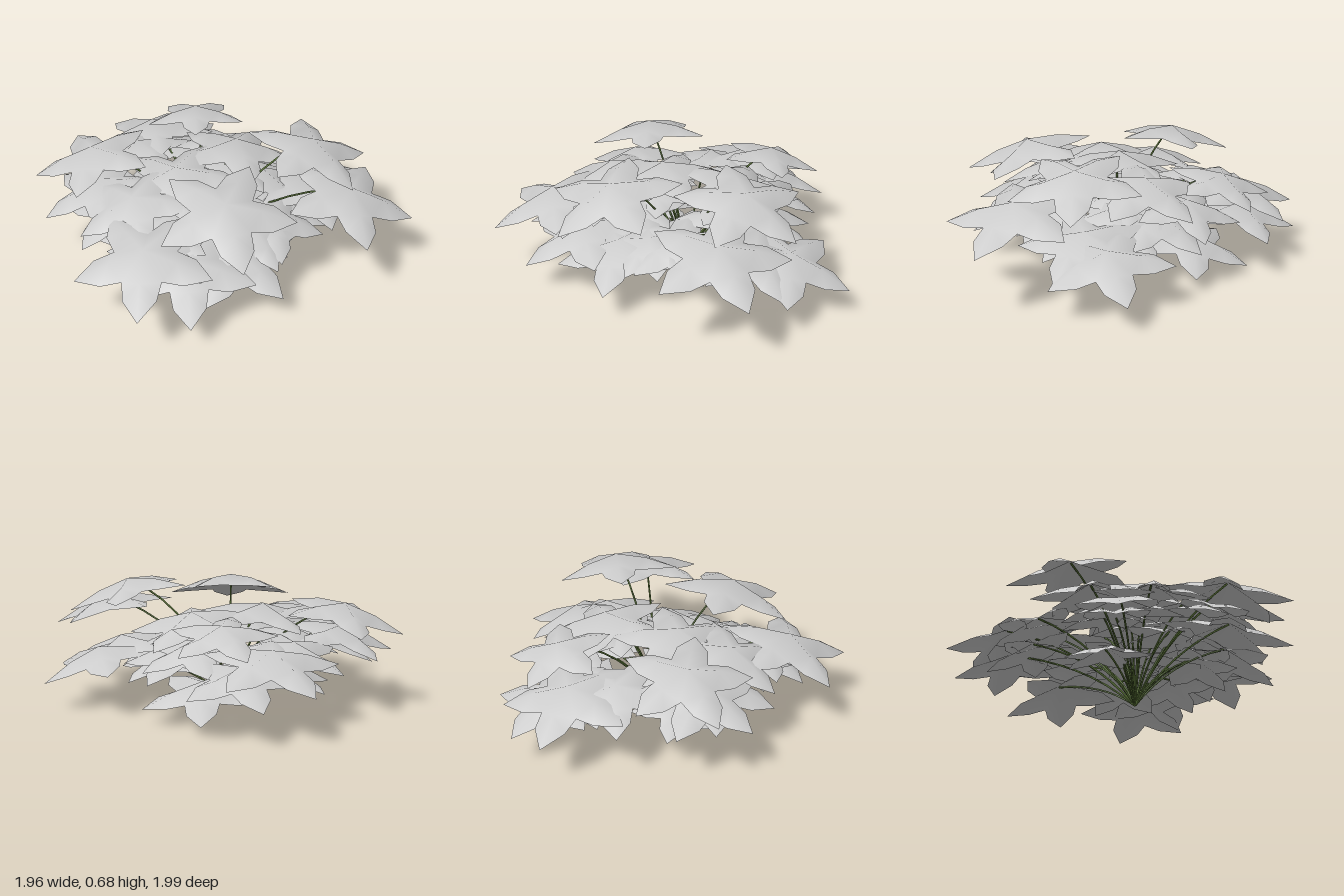
import * as THREE from 'three';

const LOBES = 5, STEP = 360 / LOBES, POINTS = 5;

// One palmate leaf: five pointed lobes drooping from a raised centre
function leafGeometry() {
  const pos = [0, 0, 0], index = [];
  const add = (r, deg, y) => {
    const a = THREE.MathUtils.degToRad(deg);
    pos.push(r * Math.cos(a), y, r * Math.sin(a));
  };
  for (let k = 0; k < LOBES; k++) {
    const d = k * STEP;
    add(0.18, d, -0.032);              // midrib
    add(0.365, d, -0.1);               // tip
    add(0.26, d - 19, -0.086);         // shoulders
    add(0.26, d + 19, -0.086);
    add(0.17, d + STEP / 2, -0.08);    // notch before the next lobe
  }
  for (let k = 0; k < LOBES; k++) {
    const b = 1 + k * POINTS, prev = 1 + ((k + LOBES - 1) % LOBES) * POINTS + 4;
    const [mid, tip, s0, s1, notch] = [b, b + 1, b + 2, b + 3, b + 4];
    index.push(0, mid, prev, prev, mid, s0, s0, mid, tip);
    index.push(0, notch, mid, notch, s1, mid, s1, tip, mid);
  }
  const g = new THREE.BufferGeometry();
  g.setAttribute('position', new THREE.Float32BufferAttribute(pos, 3));
  g.setIndex(index);
  g.computeVertexNormals();
  return g;
}

// Each leaf: x, y, z of its centre, turn in degrees, scale
const TOP_LEAVES = [
  [0.42, 0.67, 0.40, 27, 0.97],
  [0.36, 0.53, 0.71, 53, 1.02],
  [-0.30, 0.63, 0.40, 51, 1.03],
  [-0.70, 0.46, 0.20, 70, 1.02],
  [0.24, 0.42, -0.67, 56, 1],
  [-0.36, 0.58, -0.54, 6, 0.95],
  [0.40, 0.53, -0.46, 65, 0.8],
  [-0.15, 0.54, -0.10, 57, 1],
  [0.30, 0.53, -0.05, 52, 1],
  [0.66, 0.32, 0.33, 7, 0.95],
  [0.08, 0.37, 0.40, 53, 0.85],
];
const LOWER_LEAVES = [
  [0.02, 0.42, -0.57, 32, 0.85],
  [-0.46, 0.50, -0.12, 57, 0.9],
  [-0.50, 0.34, 0.32, 63, 1],
  [-0.25, 0.32, 0.43, 18, 0.95],
  [0.38, 0.34, -0.60, 0, 0.9],
  [0.40, 0.37, -0.08, 50, 0.9],
  [0.48, 0.36, 0.38, 49, 0.95],
  [0.40, 0.21, -0.29, 20, 0.9],
  [-0.22, 0.20, -0.28, 45, 0.7],
  [-0.42, 0.40, -0.28, 30, 0.95],
  [-0.42, 0.44, -0.45, 56, 0.92],
  [0.32, 0.40, 0.13, 20, 0.85],
  [-0.24, 0.37, 0.10, 40, 0.8],
  [-0.47, 0.42, 0.06, 10, 0.85],
  [-0.08, 0.31, 0.34, 0, 0.75],
  [0.26, 0.32, 0.35, 60, 0.75],
  [0.42, 0.42, -0.24, 5, 0.85],
  [-0.24, 0.42, -0.24, 20, 0.8],
  [0.38, 0.31, 0.10, 62, 0.8],
  [-0.14, 0.43, -0.03, 10, 0.75],
  [0.24, 0.44, 0.00, 30, 0.75],
  [-0.08, 0.35, 0.42, 35, 0.7],
  [-0.56, 0.40, 0.18, 20, 0.8],
  [0.22, 0.36, -0.52, 20, 0.8],
];

export function createModel() {
  const leafMat = new THREE.MeshStandardMaterial({ color: 0xcccccc, side: THREE.DoubleSide });
  leafMat.name = 'pale grey leaf';
  const stemMat = new THREE.MeshStandardMaterial({ color: 0x566e34 });
  stemMat.name = 'green stem';

  const model = new THREE.Group();
  model.name = 'plant';
  const leafGeo = leafGeometry();
  const up = new THREE.Vector3(0, 1, 0);
  const root = new THREE.Vector3(0.015, 0.003, 0.01);

  for (const [x, y, z, turn, scale] of [...TOP_LEAVES, ...LOWER_LEAVES]) {
    const top = new THREE.Vector3(x, y, z);

    // Leaf leans away from the middle of the plant
    const out = new THREE.Vector3(x, 0, z).normalize();
    const lean = 0.24 * Math.min(1, Math.hypot(x, z) / 0.4);
    const normal = out.multiplyScalar(lean).add(up).normalize();
    const leaf = new THREE.Mesh(leafGeo, leafMat);
    leaf.name = 'leaf';
    leaf.position.copy(top);
    leaf.quaternion.setFromUnitVectors(up, normal);
    leaf.rotateY(-THREE.MathUtils.degToRad(turn));
    leaf.scale.setScalar(scale);
    model.add(leaf);

    // Stem rises steeply from the root and arches out to the leaf
    const bend = new THREE.Vector3(x * 0.4, y * 0.8, z * 0.4);
    const end = top.clone().addScaledVector(normal, -0.006);
    const curve = new THREE.QuadraticBezierCurve3(root, bend, end);
    const stem = new THREE.Mesh(new THREE.TubeGeometry(curve, 8, 0.0055, 5), stemMat);
    stem.name = 'stem';
    model.add(stem);
  }
  return model;
}
